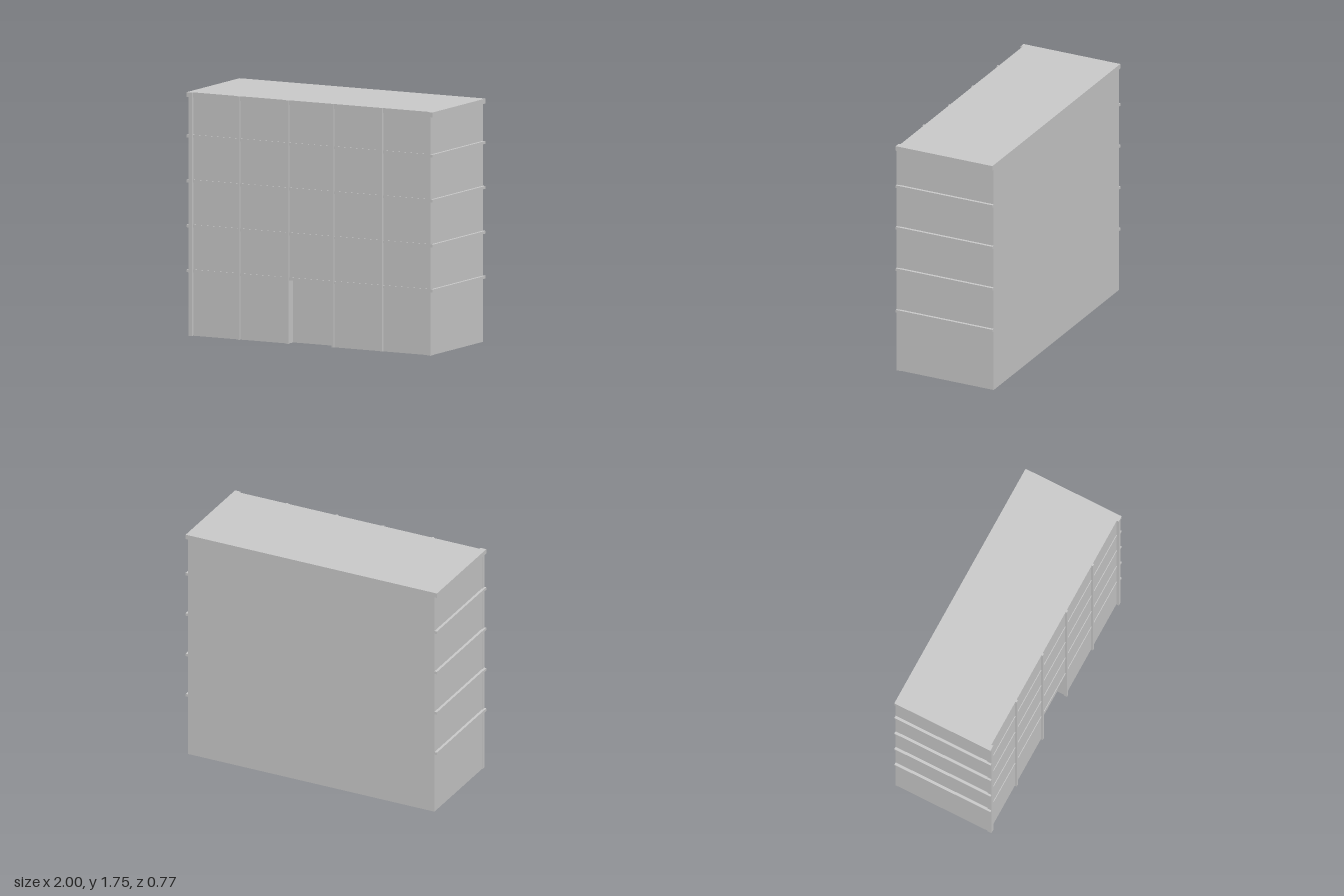
import * as THREE from 'three';

export function createModel() {
  const group = new THREE.Group();
  group.name = 'building';
  const mat = new THREE.MeshStandardMaterial({ color: 0xcccccc, flatShading: true, side: THREE.DoubleSide });

  const W = 0.98, TOP = 1.745, CAP = 1.71;      // half width, heights
  const BACK = -0.385, FRONT = 0.365, RIB = 0.385;
  const DOOR = 0.18, DOOR_H = 0.455, DOOR_Z = 0.3; // entrance recess

  const add = (name, geo) => {
    const m = new THREE.Mesh(geo, mat);
    m.name = name;
    group.add(m);
    return m;
  };
  // box from its minimum and maximum corners
  const box = (name, x0, x1, y0, y1, z0, z1) =>
    add(name, new THREE.BoxGeometry(x1 - x0, y1 - y0, z1 - z0))
      .position.set((x0 + x1) / 2, (y0 + y1) / 2, (z0 + z1) / 2);
  // thin panel, turned about y or x
  const panel = (name, w, h, x, y, z, ry = 0, rx = 0) => {
    const m = add(name, new THREE.PlaneGeometry(w, h));
    m.position.set(x, y, z);
    m.rotation.set(rx, ry, 0);
  };

  // Front wall, notched for the entrance
  const front = new THREE.Shape([
    [-W, 0], [-DOOR, 0], [-DOOR, DOOR_H], [DOOR, DOOR_H],
    [DOOR, 0], [W, 0], [W, CAP], [-W, CAP],
  ].map(([x, y]) => new THREE.Vector2(x, y)));
  add('frontWall', new THREE.ShapeGeometry(front)).position.z = FRONT;

  // Back and side walls; the shell is open underneath
  panel('backWall', 2 * W, CAP, 0, CAP / 2, BACK, Math.PI);
  for (const s of [-1, 1])
    panel('sideWall', FRONT - BACK, CAP, s * W, CAP / 2, (FRONT + BACK) / 2, s * Math.PI / 2);

  // Entrance recess
  const depth = FRONT - DOOR_Z, mid = (FRONT + DOOR_Z) / 2;
  panel('entranceBack', 2 * DOOR, DOOR_H, 0, DOOR_H / 2, DOOR_Z);
  panel('entranceCeiling', 2 * DOOR, depth, 0, DOOR_H, mid, 0, Math.PI / 2);
  for (const s of [-1, 1])
    panel('entranceSide', depth, DOOR_H, s * DOOR, DOOR_H / 2, mid, -s * Math.PI / 2);

  // Roof slab with side returns reaching the rib line
  box('roof', -1, 1, CAP, TOP, BACK, 0.37);
  for (const s of [-1, 1]) {
    const [a, b] = s > 0 ? [0.955, 1] : [-1, -0.955];
    box('roofEnd', a, b, CAP, TOP, 0.37, RIB);
  }

  // Floor bands on the front and both sides
  for (let i = 0; i < 4; i++) {
    const y0 = 0.455 + i * 0.322, y1 = y0 + 0.02;
    box('frontBand', -W, W, y0, y1, FRONT - 0.01, 0.37);
    for (const s of [-1, 1]) {
      const [a, b] = s > 0 ? [0.97, 1] : [-1, -0.97];
      box('sideBand', a, b, y0, y1, BACK, RIB);
    }
  }

  // Vertical ribs and corner posts
  for (const x of [-0.58, -0.184, 0.184, 0.58])
    box('rib', x - 0.009, x + 0.009, 0, TOP, FRONT - 0.01, RIB - 0.005);
  for (const x of [-0.97, 0.97])
    box('cornerPost', x - 0.015, x + 0.015, 0, TOP, FRONT - 0.01, RIB);

  return group;
}
